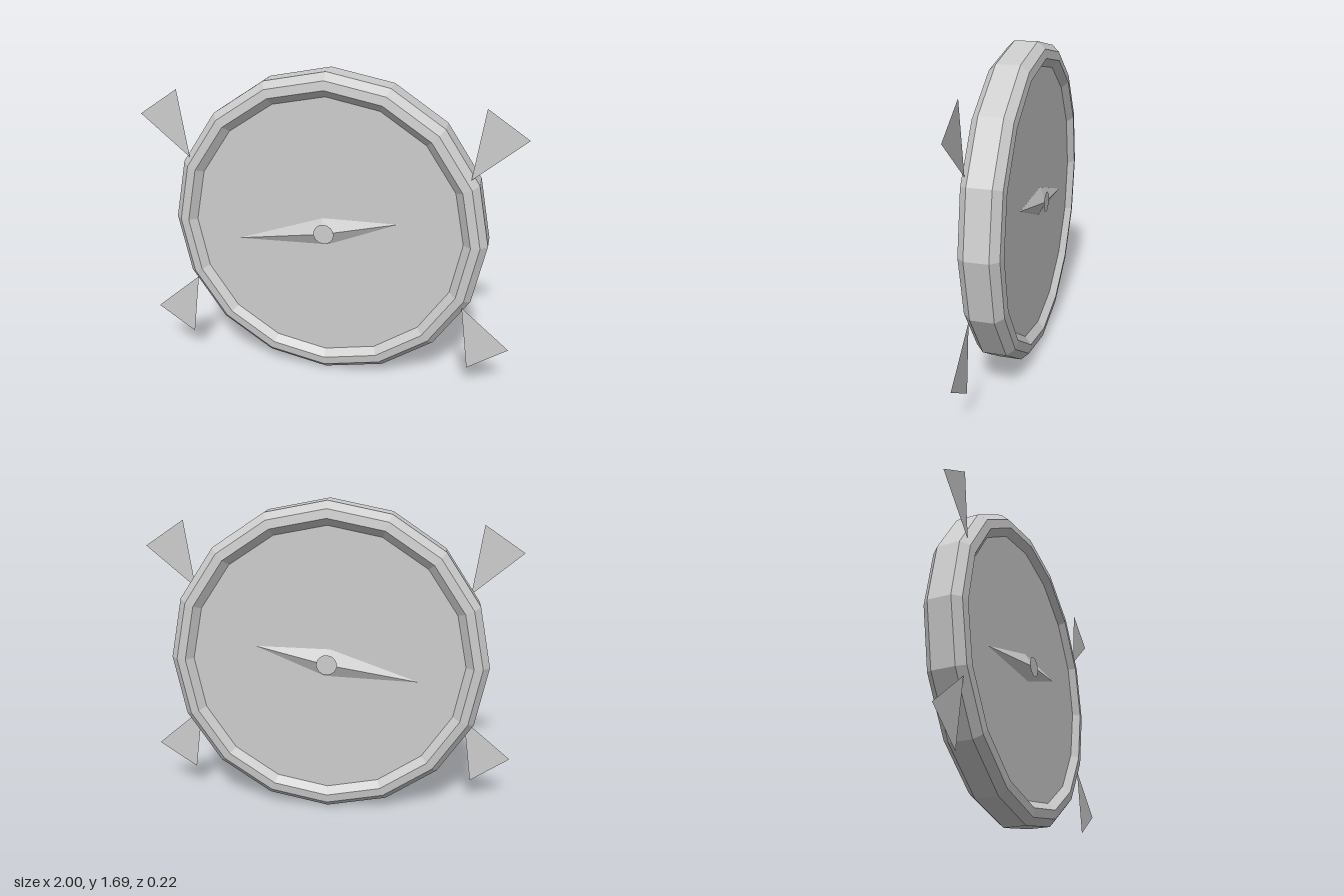
import * as THREE from 'three';

const CY = 0.847; // height of the dial centre

export function createModel() {
  const model = new THREE.Group();
  model.name = 'compass';
  const grey = new THREE.MeshStandardMaterial({ color: 0xcccccc, flatShading: true, side: THREE.DoubleSide });
  grey.name = 'grey';

  const add = (name, geometry, parent) => {
    const flat = geometry.index ? geometry.toNonIndexed() : geometry;
    flat.computeVertexNormals();
    const mesh = new THREE.Mesh(flat, grey);
    mesh.name = name;
    parent.add(mesh);
    return mesh;
  };
  const triangles = (points) => new THREE.BufferGeometry().setFromPoints(
    points.map(([x, y, z]) => new THREE.Vector3(x, y, z)));

  const dial = new THREE.Group();
  dial.name = 'dial';
  dial.position.y = CY;
  model.add(dial);

  // Bevelled sixteen-sided rim, symmetric front to back
  const half = [[0.847, 0.06], [0.81, 0.099], [0.763, 0.105], [0.724, 0.07]];
  const profile = [
    ...half.slice().reverse().map(([r, z]) => new THREE.Vector2(r, -z)),
    ...half.map(([r, z]) => new THREE.Vector2(r, z)),
  ];
  add('rim', new THREE.LatheGeometry(profile, 16).rotateX(Math.PI / 2), dial);

  // Face plate, ridged needle and flat hub on both sides
  const right = [0.385, 0.08, 0.072], left = [-0.485, -0.09, 0.072];
  const top = [-0.015, 0.075, 0.072], bottom = [0.015, -0.073, 0.072];
  const apex = [0, 0, 0.11];
  for (const s of [1, -1]) {
    const side = s > 0 ? 'front' : 'back';
    const turn = s > 0 ? 0 : Math.PI;

    add(side + 'Face', new THREE.CircleGeometry(0.724, 16).rotateY(turn).translate(0, 0, s * 0.07), dial);

    const loop = [right, top, left, bottom];
    const points = loop.flatMap((p, i) => {
      const next = loop[(i + 1) % 4];
      return (s > 0 ? [p, next, apex] : [next, p, apex]).map(([x, y, z]) => [x, y, z * s]);
    });
    add(side + 'Needle', triangles(points), dial);

    add(side + 'Hub', new THREE.CircleGeometry(0.055, 16).rotateY(turn).translate(0, 0, s * 0.112), dial);
  }

  // Four flat pointers around the rim, mirrored in x and y
  for (const sx of [1, -1]) {
    for (const sy of [1, -1]) {
      const corners = [[0.74, 0.356], [1, 0.577], [0.79, 0.718]];
      if (sx * sy < 0) corners.reverse();
      const name = (sy > 0 ? 'upper' : 'lower') + (sx > 0 ? 'Left' : 'Right') + 'Pointer';
      add(name, triangles(corners.map(([x, y]) => [x * sx, y * sy, 0.08])), dial);
    }
  }
  return model;
}
